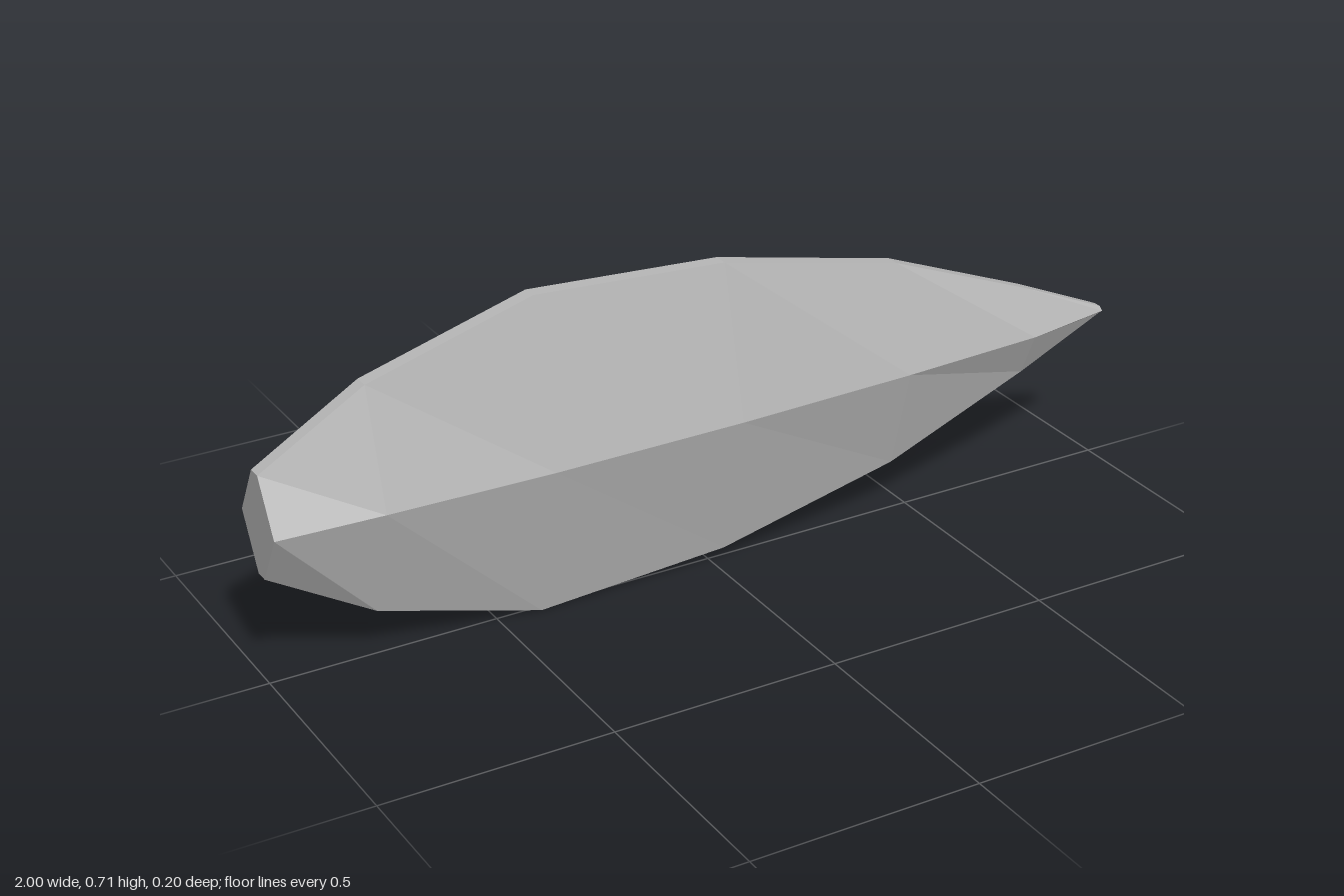
import * as THREE from 'three';

const MID = 0.354;

// Cross-sections along the blade: x, half height, ridge half depth, rim half depth
const SECTIONS = [
  [-1, 0.113, 0.079, 0.015],
  [-0.77, 0.249, 0.089, 0.016],
  [-0.405, 0.354, 0.098, 0.016],
  [0.03, 0.328, 0.094, 0.016],
  [0.45, 0.234, 0.079, 0.015],
  [0.79, 0.1, 0.058, 0.013],
  [1, 0.008, 0.019, 0.009],
];

// Six-sided ring: pointed ridges front and back, narrow flat rims above and below
function ring([x, h, ridge, rim]) {
  return [[0, ridge], [-h, rim], [-h, -rim], [0, -ridge], [h, -rim], [h, rim]]
    .map(([y, z]) => [x, MID + y, z]);
}

export function createModel() {
  const grey = new THREE.MeshStandardMaterial({ color: 0xb8b8b8, flatShading: true });
  grey.name = 'grey';

  const rings = SECTIONS.map(ring);
  const positions = [];
  const tri = (...corners) => corners.forEach((c) => positions.push(...c));

  // Skin between neighbouring rings
  for (let i = 0; i < rings.length - 1; i++) {
    const a = rings[i], b = rings[i + 1];
    for (let j = 0; j < 6; j++) {
      const k = (j + 1) % 6;
      tri(a[j], a[k], b[k]);
      tri(a[j], b[k], b[j]);
    }
  }

  // Flat caps at the blunt end and the tip
  const blunt = rings[0], tip = rings[rings.length - 1];
  for (let j = 1; j < 5; j++) {
    tri(blunt[0], blunt[j + 1], blunt[j]);
    tri(tip[0], tip[j], tip[j + 1]);
  }

  const geometry = new THREE.BufferGeometry();
  geometry.setAttribute('position', new THREE.Float32BufferAttribute(positions, 3));
  geometry.computeVertexNormals();

  const blade = new THREE.Mesh(geometry, grey);
  blade.name = 'blade';
  const model = new THREE.Group();
  model.name = 'leafBlade';
  model.add(blade);
  return model;
}
